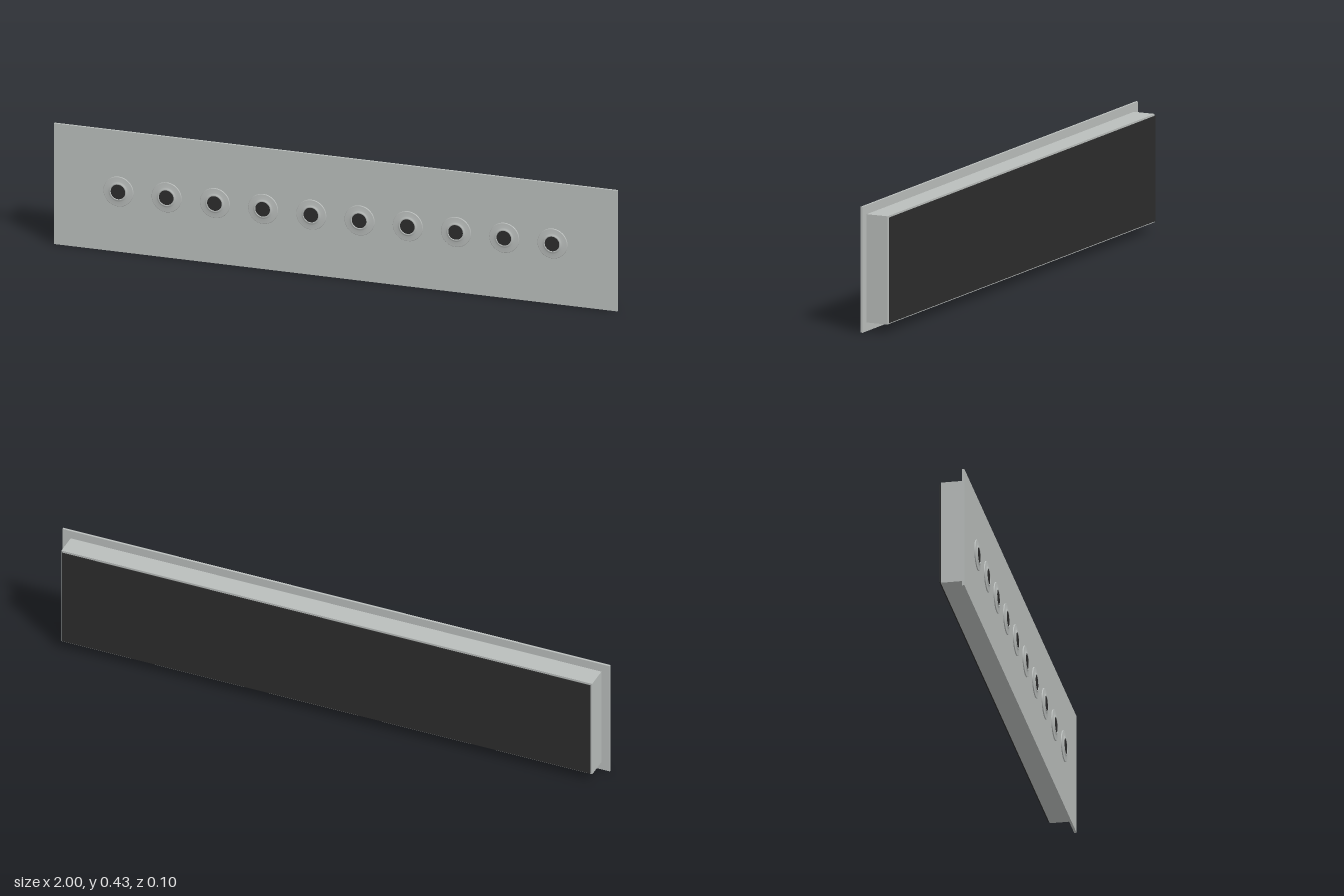
import * as THREE from 'three';

export function createModel() {
  const group = new THREE.Group();
  const metal = new THREE.MeshStandardMaterial({ name: 'brushed grey', color: 0xb9bdbb });
  const dark = new THREE.MeshStandardMaterial({ name: 'dark grey', color: 0x2c2c2c });

  const midY = 0.215;
  // Box given by its size and its range in z
  const slab = (name, w, h, z0, z1, material) => {
    const mesh = new THREE.Mesh(new THREE.BoxGeometry(w, h, z1 - z0), material);
    mesh.name = name;
    mesh.position.set(0, midY, (z0 + z1) / 2);
    group.add(mesh);
  };

  slab('frontPlate', 2, 0.43, 0.034, 0.042, metal);
  slab('housing', 1.94, 0.37, -0.044, 0.034, metal);
  slab('backPanel', 1.93, 0.36, -0.05, -0.047, dark);

  // Round fitting: flat flange, sloped collar and recessed dark opening
  const profile = [
    [0.053, 0], [0.053, 0.003], [0.051, 0.004], [0.036, 0.004],
    [0.031, 0.007], [0.028, 0.008], [0.026, 0.007], [0.025, 0.004],
  ].map(([r, h]) => new THREE.Vector2(r, h));
  const collarGeometry = new THREE.LatheGeometry(profile, 32).rotateX(Math.PI / 2);
  const openingGeometry = new THREE.CircleGeometry(0.0265, 24);

  const count = 10;
  for (let i = 0; i < count; i++) {
    const fitting = new THREE.Group();
    fitting.name = `fitting${i + 1}`;
    fitting.position.set(-0.77 + (1.54 * i) / (count - 1), midY, 0.042);
    const collar = new THREE.Mesh(collarGeometry, metal);
    collar.name = 'collar';
    const opening = new THREE.Mesh(openingGeometry, dark);
    opening.name = 'opening';
    opening.position.z = 0.0065;
    fitting.add(collar, opening);
    group.add(fitting);
  }
  return group;
}
